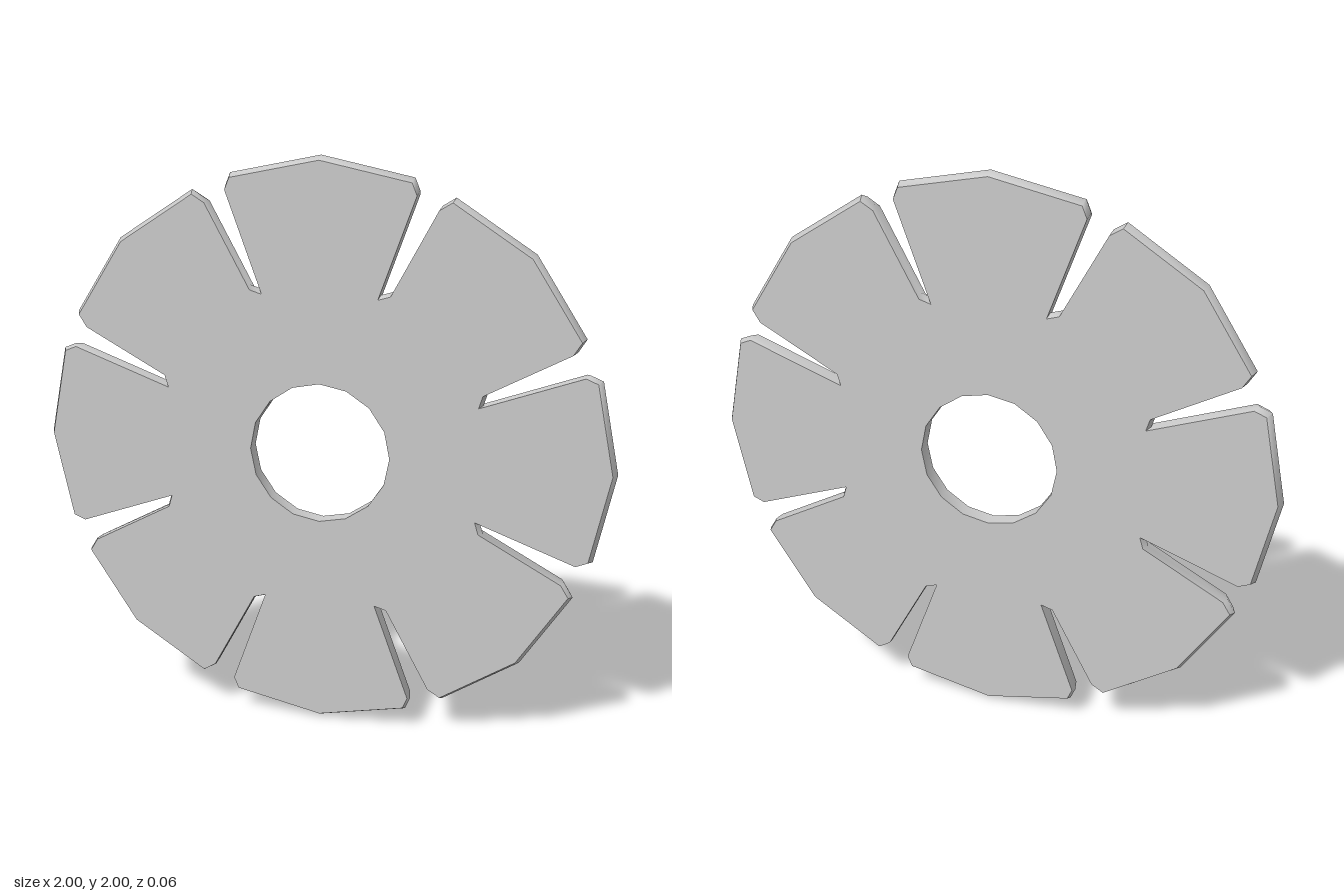
import * as THREE from 'three';
import { toCreasedNormals } from 'three/addons/utils/BufferGeometryUtils.js';

const THICKNESS = 0.058;

// One eighth of the outline, from the top of a blade round to the diagonal.
const OCTANT = [
  [0, 1], [0.31, 0.936], [0.327, 0.895], // blade rim and clipped corner
  [0.203, 0.553], [0.246, 0.566],        // bottom of the slot
  [0.4, 0.85], [0.444, 0.877],           // clipped corner of the next blade
  [0.707, 0.707],
];

function slottedOutline() {
  // mirror across the diagonal to get a quarter, dropping the shared last point
  const quarter = [...OCTANT, ...OCTANT.slice(1, -1).reverse().map(([x, y]) => [y, x])];
  const points = [];
  for (let q = 0; q < 4; q++) {
    for (const [x, y] of quarter) {
      points.push(new THREE.Vector2(x, y).rotateAround(new THREE.Vector2(), -q * Math.PI / 2));
    }
  }
  return points;
}

function polygon(sides, radius) {
  return Array.from({ length: sides }, (_, i) => {
    const a = (i / sides) * Math.PI * 2;
    return new THREE.Vector2(radius * Math.cos(a), radius * Math.sin(a));
  });
}

function discGeometry() {
  const shape = new THREE.Shape(slottedOutline());
  shape.holes.push(new THREE.Path(polygon(16, 0.245)));
  const geometry = new THREE.ExtrudeGeometry(shape, { depth: THICKNESS, steps: 2, bevelEnabled: false });
  geometry.translate(0, 0, -THICKNESS / 2);

  // pull both faces inward so the rim and slot bottoms form a central ridge
  const pos = geometry.attributes.position;
  for (let i = 0; i < pos.count; i++) {
    const r = Math.hypot(pos.getX(i), pos.getY(i));
    if (Math.abs(pos.getZ(i)) < 0.01 || r < 0.4) continue;
    const k = r > 0.8 ? 0.985 : 0.978;
    pos.setXY(i, pos.getX(i) * k, pos.getY(i) * k);
  }
  return toCreasedNormals(geometry, 1.03);
}

export function createModel() {
  const group = new THREE.Group();
  const disc = new THREE.Mesh(discGeometry(), new THREE.MeshStandardMaterial({ color: 0xcccccc }));
  disc.name = 'slottedDisc';
  disc.position.y = 1;
  group.add(disc);
  return group;
}
